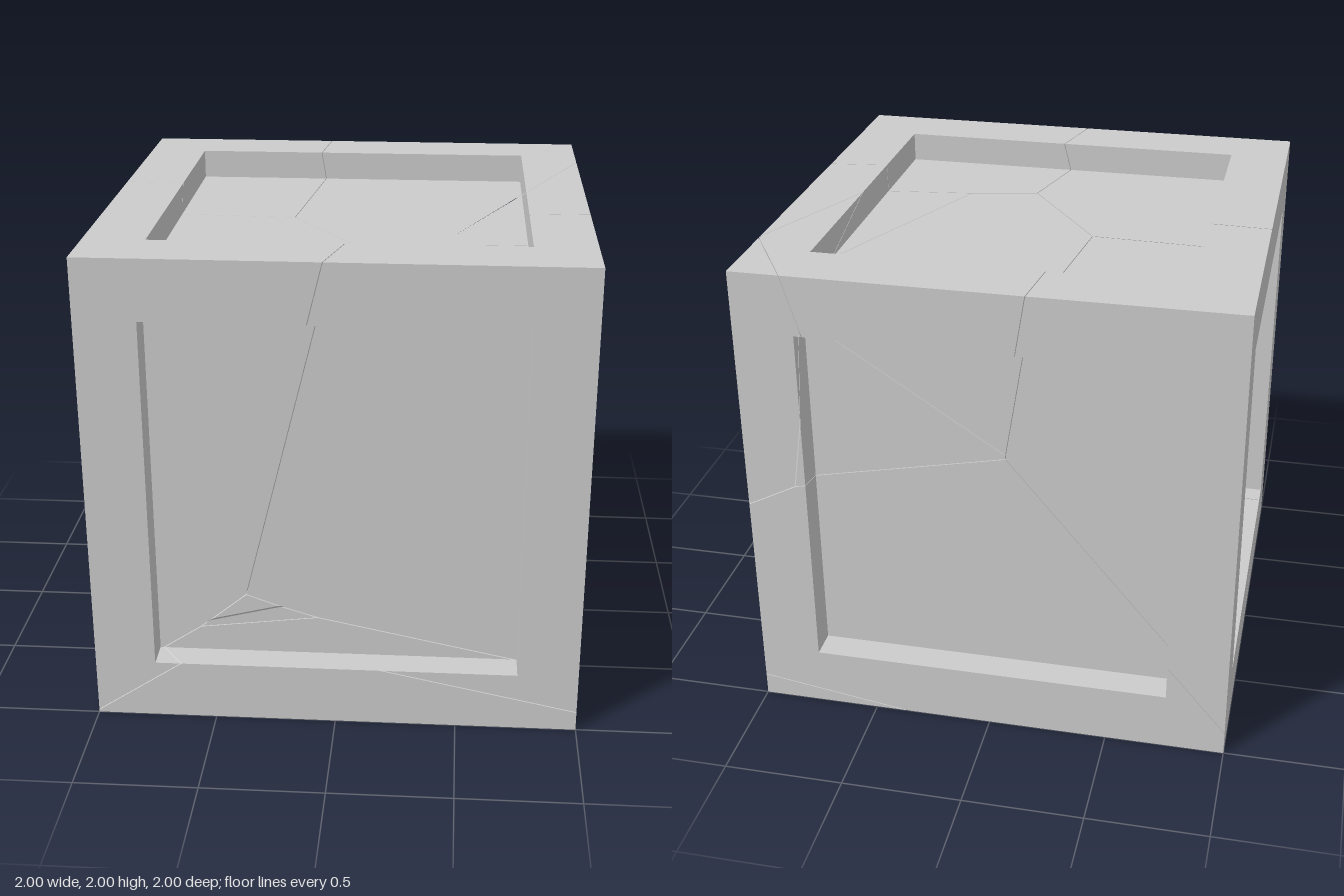
import * as THREE from 'three';

// Crate with a recessed panel on every side, fractured into convex chunks.
// A chunk is the region where its linear function a + bx + cy + dz is largest.
const CHUNKS = {
  frontRightChunk: [0, 0, 0, 0],
  frontLeftChunk: [-0.337, -1.222, 0.306, -0.324],
  frontSplinter: [1.229, -0.273, -0.898, -1.0],
  bottomChunk: [1.385, -0.24, -1.164, -1.048],
  backLeftChunk: [0.325, -1.189, -0.067, -1.152],
  backTopChunk: [0.278, -0.223, 0.09, -1.041],
  sideChunk: [0.497, -0.13, -0.053, -1.0],
  backLowerChunk: [1.312, -0.292, -0.823, -1.14],
  backCornerChunk: [-0.004, 0.131, -0.015, -1.253],
};
const GAP = 0.0015; // half the width of a crack
const LEVELS = [-1, -0.875, -0.75, 0.75, 0.875, 1]; // outside, panel depth, frame inner edge

// A grid block is solid unless it lies in one of the six recesses
function isSolid(id) {
  if (id.some((i) => i < 0 || i > 4)) return false;
  const outer = id.filter((i) => i === 0 || i === 4).length;
  const middle = id.filter((i) => i === 2).length;
  return !(outer === 1 && middle === 2);
}

// Keep the part of a polygon on the positive side of a plane
function clip(poly, plane) {
  const out = [];
  poly.forEach((p, i) => {
    const q = poly[(i + 1) % poly.length];
    const dp = plane.distanceToPoint(p);
    const dq = plane.distanceToPoint(q);
    if (dp >= 0) out.push(p);
    if (dp >= 0 !== dq >= 0) out.push(p.clone().lerp(q, dp / (dp - dq)));
  });
  return out;
}
const clipAll = (poly, planes) =>
  planes.reduce((result, plane) => (result.length ? clip(result, plane) : result), poly);

// Solid grid blocks, each with its bounding planes, and the exposed skin faces
function buildCrate() {
  const blocks = [];
  const skin = [];
  for (let n = 0; n < 125; n++) {
    const id = [n % 5, Math.floor(n / 5) % 5, Math.floor(n / 25)];
    if (!isSolid(id)) continue;
    const range = id.map((i, axis) => [LEVELS[i], LEVELS[i + 1]].map((v) => (axis === 1 ? v + 1 : v)));
    const planes = [];
    for (let a = 0; a < 3; a++) {
      for (const side of [0, 1]) {
        const sign = side ? 1 : -1;
        const normal = new THREE.Vector3().setComponent(a, -sign);
        planes.push(new THREE.Plane(normal, sign * range[a][side]));
        const neighbour = id.slice();
        neighbour[a] += sign;
        if (isSolid(neighbour)) continue;
        const b = (a + 1) % 3;
        const c = (a + 2) % 3;
        const face = [[0, 0], [1, 0], [1, 1], [0, 1]].map(([i, j]) =>
          new THREE.Vector3()
            .setComponent(a, range[a][side])
            .setComponent(b, range[b][i])
            .setComponent(c, range[c][j]));
        skin.push(side ? face : face.reverse());
      }
    }
    blocks.push(planes);
  }
  return { blocks, skin };
}

// Large square on a plane, facing against the plane's normal (out of the chunk)
function planeSheet(plane) {
  const n = plane.normal.clone().negate();
  const helper = Math.abs(n.y) < 0.8 ? new THREE.Vector3(0, 1, 0) : new THREE.Vector3(1, 0, 0);
  const u = helper.cross(n).normalize();
  const v = n.clone().cross(u);
  const centre = plane.coplanarPoint(new THREE.Vector3());
  return [[-5, -5], [5, -5], [5, 5], [-5, 5]].map(([s, t]) =>
    centre.clone().addScaledVector(u, s).addScaledVector(v, t));
}

function polygonsToGeometry(polygons) {
  const positions = [];
  for (const poly of polygons) {
    for (let i = 1; i < poly.length - 1; i++) {
      for (const p of [poly[0], poly[i], poly[i + 1]]) positions.push(p.x, p.y, p.z);
    }
  }
  const geometry = new THREE.BufferGeometry();
  geometry.setAttribute('position', new THREE.Float32BufferAttribute(positions, 3));
  geometry.computeVertexNormals();
  return geometry;
}

export function createModel() {
  const crate = new THREE.Group();
  crate.name = 'fracturedCrate';
  const material = new THREE.MeshStandardMaterial({ color: 0xcccccc, flatShading: true });
  const { blocks, skin } = buildCrate();

  for (const [name, f] of Object.entries(CHUNKS)) {
    // Planes separating this chunk from every other one
    const cuts = Object.values(CHUNKS).filter((g) => g !== f).map((g) => {
      const normal = new THREE.Vector3(f[1] - g[1], f[2] - g[2], f[3] - g[3]);
      const plane = new THREE.Plane(normal, f[0] - g[0]).normalize();
      plane.constant -= GAP;
      return plane;
    });

    // Outer skin of the chunk
    const polygons = skin.map((face) => clipAll(face, cuts));

    // Broken inner faces
    for (const cut of cuts) {
      const sheet = clipAll(planeSheet(cut), cuts.filter((other) => other !== cut));
      if (sheet.length < 3) continue;
      for (const block of blocks) polygons.push(clipAll(sheet, block));
    }

    const chunk = new THREE.Mesh(polygonsToGeometry(polygons.filter((p) => p.length > 2)), material);
    chunk.name = name;
    crate.add(chunk);
  }
  return crate;
}
